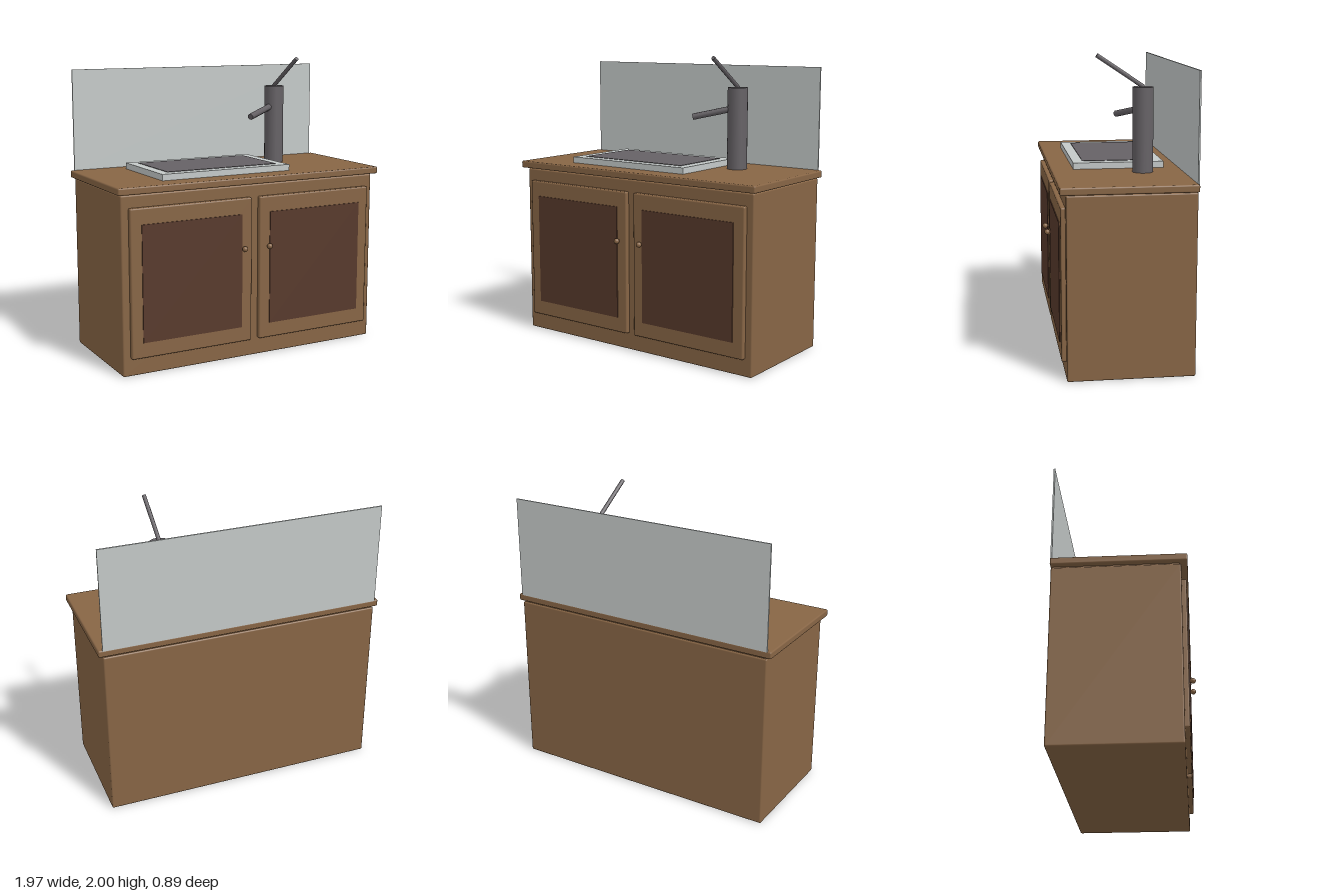
import * as THREE from 'three';
import { RoundedBoxGeometry } from 'three/addons/geometries/RoundedBoxGeometry.js';

const material = (name, color) => {
  const m = new THREE.MeshStandardMaterial({ color });
  m.name = name;
  return m;
};

export function createModel() {
  const wood = material('wood', 0x876545);
  const darkWood = material('dark wood', 0x57392b);
  const paleGrey = material('pale grey', 0xc4c9c8);
  const metal = material('dark metal', 0x656165);

  const model = new THREE.Group();
  model.name = 'sinkCabinet';

  const add = (name, geometry, mat, parent = model) => {
    const mesh = new THREE.Mesh(geometry, mat);
    mesh.name = name;
    parent.add(mesh);
    return mesh;
  };

  // Box given by its minimum and maximum corners, with optional rounded edges
  const block = (name, min, max, mat, radius = 0, parent = model) => {
    const size = max.map((v, i) => v - min[i]);
    const geometry = radius
      ? new RoundedBoxGeometry(...size, 2, radius)
      : new THREE.BoxGeometry(...size);
    const mesh = add(name, geometry, mat, parent);
    mesh.position.set(...max.map((v, i) => (v + min[i]) / 2));
    return mesh;
  };

  // Straight round bar between two points
  const bar = (name, from, to, radius, sides, mat, parent) => {
    const a = new THREE.Vector3(...from);
    const b = new THREE.Vector3(...to);
    const mesh = add(name, new THREE.CylinderGeometry(radius, radius, a.distanceTo(b), sides), mat, parent);
    mesh.position.copy(a).add(b).multiplyScalar(0.5);
    mesh.quaternion.setFromUnitVectors(new THREE.Vector3(0, 1, 0), b.sub(a).normalize());
    return mesh;
  };

  // Cabinet and worktop
  block('cabinetBody', [-0.955, 0, -0.44], [0.953, 1.18, 0.373], wood, 0.01);
  block('worktopSupport', [-0.945, 1.16, -0.43], [0.943, 1.2, 0.363], wood);
  block('worktop', [-0.985, 1.187, -0.443], [0.983, 1.235, 0.413], wood, 0.01);

  // Two doors with inset-coloured panels and round knobs
  for (const side of [-1, 1]) {
    const door = new THREE.Group();
    door.name = side < 0 ? 'rightDoor' : 'leftDoor';
    model.add(door);
    const cx = side * 0.467;
    block('doorFrame', [cx - 0.437, 0.117, 0.36], [cx + 0.437, 1.098, 0.403], wood, 0.01, door);
    block('doorPanel', [cx - 0.36, 0.22, 0.4], [cx + 0.36, 0.992, 0.409], darkWood, 0, door);
    const knob = add('knob', new THREE.SphereGeometry(0.019, 16, 12), wood, door);
    knob.position.set(side * 0.095, 0.76, 0.426);
    bar('knobStem', [side * 0.095, 0.76, 0.4], [side * 0.095, 0.76, 0.42], 0.008, 10, wood, door);
  }

  // Splashback along the rear edge
  block('splashback', [-0.957, 1.23, -0.444], [0.955, 1.922, -0.434], paleGrey);

  // Sink rim with its dark basin
  block('sinkRim', [-0.617, 1.22, -0.335], [0.34, 1.277, 0.267], paleGrey);
  block('sinkBasin', [-0.55, 1.272, -0.27], [0.273, 1.28, 0.2], metal);

  // Tap: column, spout and raised lever
  const tap = new THREE.Group();
  tap.name = 'tap';
  model.add(tap);
  bar('tapColumn', [0.477, 1.23, -0.172], [0.477, 1.785, -0.172], 0.068, 20, metal, tap);
  bar('spout', [0.45, 1.643, -0.16], [0.205, 1.583, -0.036], 0.022, 8, metal, tap);
  bar('lever', [0.477, 1.785, -0.175], [0.477, 1.988, 0.128], 0.014, 8, metal, tap);

  return model;
}
